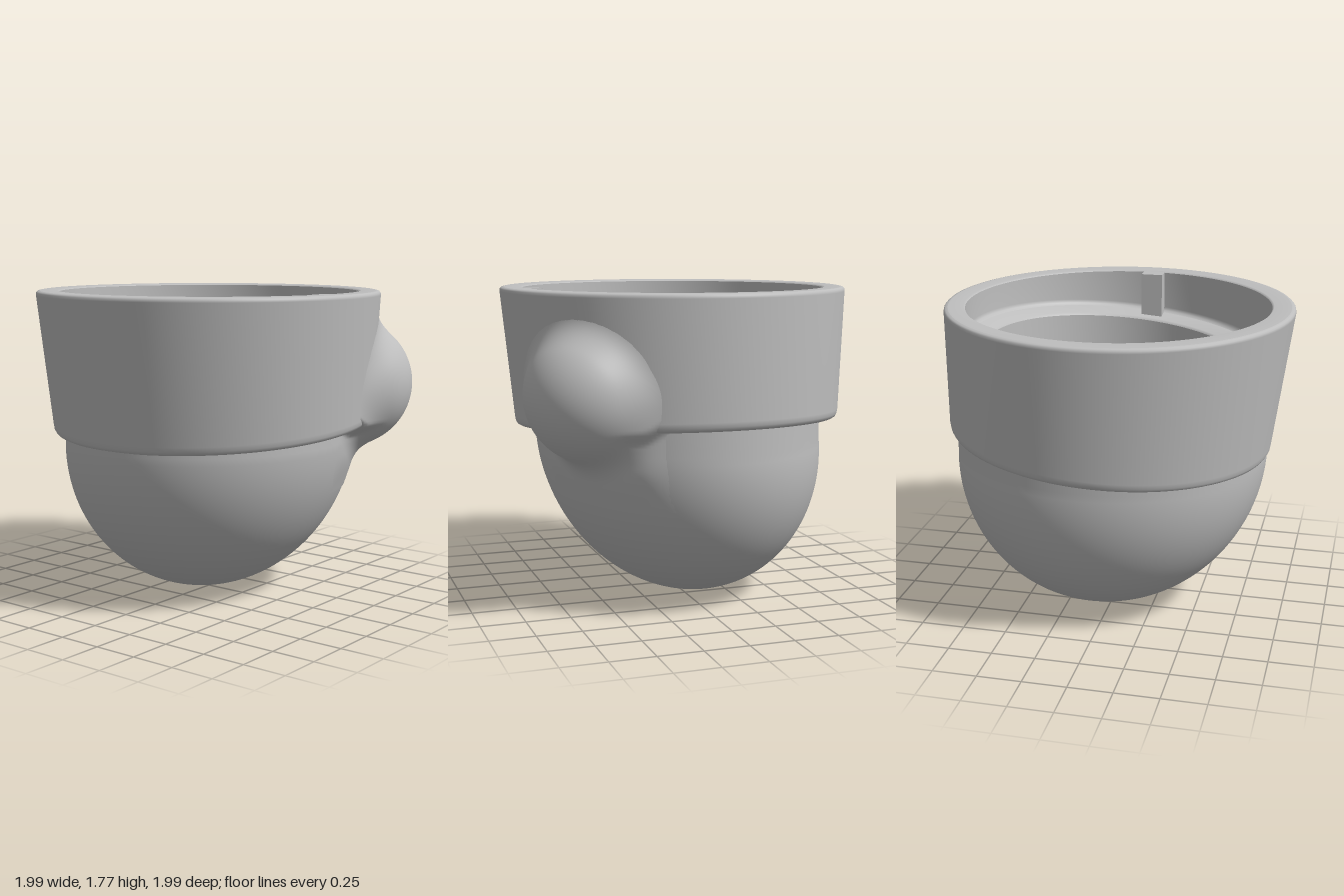
import * as THREE from 'three';

const SEG = 96;
const { smoothstep } = THREE.MathUtils;

// Smooth skin over rows of points; rows run so that outward faces are the front
function skin(rows, closed = true) {
  const n = rows[0].length, idx = [];
  for (let i = 0; i < rows.length - 1; i++) {
    for (let j = 0; j < (closed ? n : n - 1); j++) {
      const k = (j + 1) % n;
      const a = i * n + j, d = i * n + k, b = a + n, e = d + n;
      idx.push(a, d, b, d, e, b);
    }
  }
  const g = new THREE.BufferGeometry();
  g.setAttribute('position', new THREE.Float32BufferAttribute(rows.flat(2), 3));
  g.setIndex(idx);
  g.computeVertexNormals();
  return g;
}

// Elliptical ring whose plane can lean along z
function ring(rx, y, cx = 0, cz = 0, tilt = 0, rz = rx) {
  return Array.from({ length: SEG }, (_, j) => {
    const t = (j / SEG) * Math.PI * 2;
    const z = cz + rz * Math.sin(t);
    return [cx + rx * Math.cos(t), y + tilt * z, z];
  });
}

// Outer bowl section at height y: an egg whose tip sits off centre
function bowlSection(y) {
  const u = Math.min(y / 0.92, 1);
  const f = Math.sqrt(Math.max(1 - (1 - u) ** 2, 0));
  return { rx: 0.815 * f, rz: 0.912 * f, cx: -0.09 + 0.075 * u, cz: -0.08 + 0.035 * u };
}

// Distance from the vertical axis to the body; w (0 to 1) softens the collar edge
function bodyRadius(t, y, w) {
  const c = Math.cos(t), s = Math.sin(t);
  const b = bowlSection(y);
  const bowl = 1 / Math.hypot(c / b.rx, s / b.rz) + b.cx * c + b.cz * s;
  const u = (1.775 - y) / 0.78;
  const collar = 0.993 - 0.058 * u + (-0.005 - 0.008 * u) * c - 0.05 * u * s;
  const edge = 0.995 - 0.07 * s * collar;
  const step = smoothstep(y, edge - 0.07 * w, edge + 0.08 - 0.07 * w);
  return bowl + (collar - bowl) * step - 0.006 + 0.011 * w;
}

// Side bulge: a ball blended into the body, found by stepping inwards
function bulgeGeometry() {
  const cx = 0.62, cy = 1.23, cz = -0.54, r = 0.375, k = 0.11, rows = [];
  const mid = Math.atan2(cz, cx);
  for (let i = 0; i <= 72; i++) {
    const y = 1.755 - (i / 72) * 1.13, row = [];
    for (let j = 0; j <= 72; j++) {
      const t = mid + (j / 72 - 0.5) * 1.5;
      const c = Math.cos(t), s = Math.sin(t);
      const w = (1 - smoothstep(Math.abs(t - mid), 0.36, 0.56))
        * (1 - smoothstep(y, 1.2, 1.4)) * smoothstep(y, 0.65, 0.85);
      const base = bodyRadius(t, y, w);
      let p = 1.4;
      for (let q = 0; q < 60; q++) {
        const a = p - base;
        const b = Math.hypot(p * c - cx, y - cy, p * s - cz) - r;
        const h = Math.max(k - Math.abs(a - b), 0) / k;
        p -= 0.7 * (Math.min(a, b) - h * h * k * 0.25);
      }
      row.push([p * c, y, p * s]);
    }
    rows.push(row);
  }
  return skin(rows, false);
}

export function createModel() {
  const model = new THREE.Group();
  const grey = new THREE.MeshStandardMaterial({ color: 0xbebebe });
  grey.name = 'grey';
  const add = (name, geometry) => {
    const mesh = new THREE.Mesh(geometry, grey);
    mesh.name = name;
    model.add(mesh);
    return mesh;
  };

  // Bowl: an outer egg and a hollow that follows it at the wall thickness
  const wall = 0.05, outside = [], hollow = [];
  for (let i = 0; i <= 36; i++) {
    const y = 0.92 * (1 - Math.cos((i / 36) * Math.PI / 2));
    const b = bowlSection(Math.max(y, 0.000001));
    outside.unshift(ring(b.rx, y, b.cx, b.cz, 0, b.rz));
    hollow.push(ring(b.rx * (1 - wall / 0.815), wall + y * (1 - wall / 0.92),
      b.cx, b.cz, 0, b.rz * (1 - wall / 0.912)));
  }
  outside.unshift(ring(0.815, 1.1, -0.015, -0.045, 0, 0.912));
  const hollowTop = ring(0.815 - wall, 1.16, -0.015, -0.045, -0.12, 0.912 - wall);
  hollow.push(hollowTop);
  add('bowlOutside', skin(outside));
  add('bowlInside', skin(hollow));

  // Narrow opening: overhanging lip, throat and leaning ledge
  const lip = (r, y, tilt) => ring(r, y, -0.01, -0.022, tilt);
  add('lipUnderside', skin([hollowTop, lip(0.733, 1.16, -0.12)]));
  add('throat', skin([lip(0.733, 1.16, -0.12), lip(0.735, 1.49, -0.085)]));
  const socket = (r, y, tilt = 0) => ring(r, y, -0.005, -0.007, tilt);
  add('ledge', skin([lip(0.735, 1.49, -0.085), lip(0.745, 1.505, -0.085),
    socket(0.845, 1.525, -0.085)]));

  // Socket wall above the ledge
  add('socketWall', skin([socket(0.845, 1.525, -0.085), socket(0.862, 1.535, -0.085),
    socket(0.868, 1.555, -0.085), socket(0.868, 1.766)]));

  // Collar: flat rim, tapered wall and leaning underside
  const top = (r, y) => ring(r, y, -0.005, 0);
  const low = (r, y) => ring(r, y, -0.013, -0.05, -0.07);
  add('rim', skin([socket(0.868, 1.766), socket(0.878, 1.775), top(0.97, 1.775)]));
  add('collarWall', skin([top(0.97, 1.775), top(0.984, 1.772), top(0.992, 1.764), top(0.994, 1.75),
    low(0.938, 1.045), low(0.934, 1.02), low(0.925, 1.004), low(0.91, 0.996)]));
  add('collarUnderside', skin([low(0.91, 0.996), low(0.78, 0.996)]));

  // Locating key on the socket wall
  const key = add('locatingKey', new THREE.BoxGeometry(0.11, 0.27, 0.13));
  key.position.set(0.825, 1.635, 0.025);

  add('sideBulge', bulgeGeometry());
  return model;
}
